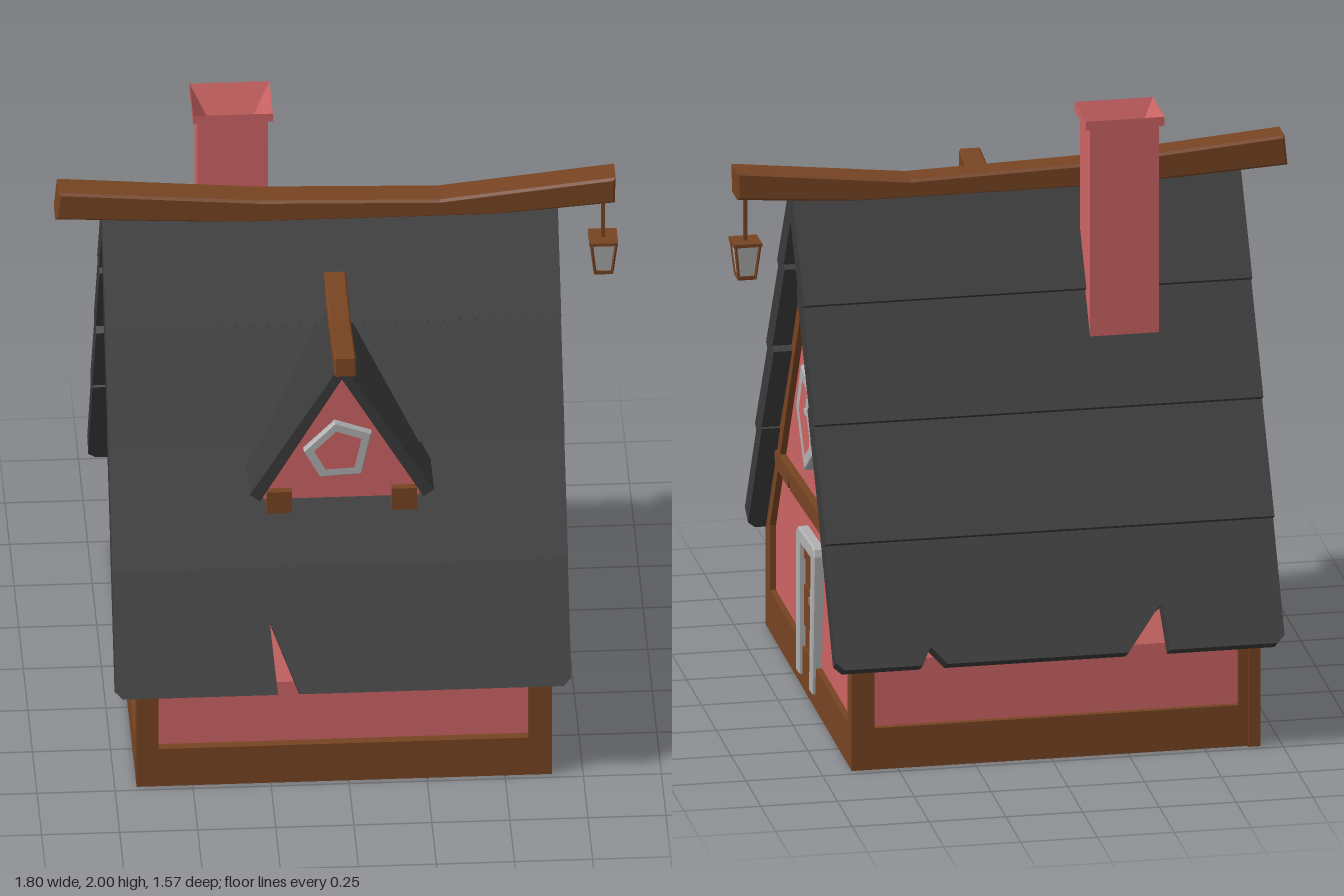
import * as THREE from 'three';

const mat = (color, side = THREE.FrontSide) =>
  new THREE.MeshStandardMaterial({ color, flatShading: true, side });
const PINK = mat(0xcd6464), WOOD = mat(0x774422), ROOF = mat(0x3a3a3a), STONE = mat(0xb0b0b0);
const BLACK = mat(0x111111), BRASS = mat(0xc08a30), BRICK = mat(0xcd6464, THREE.DoubleSide);

function add(parent, name, geometry, material, x = 0, y = 0, z = 0) {
  const m = new THREE.Mesh(geometry, material);
  m.name = name;
  m.position.set(x, y, z);
  parent.add(m);
  return m;
}

// Box given by its limits on each axis
function box(parent, name, material, [x0, x1], [y0, y1], [z0, z1]) {
  return add(parent, name, new THREE.BoxGeometry(x1 - x0, y1 - y0, z1 - z0), material,
    (x0 + x1) / 2, (y0 + y1) / 2, (z0 + z1) / 2);
}

const shapeOf = pts => new THREE.Shape(pts.map(p => new THREE.Vector2(...p)));

// Flat outline extruded from z0 to z1, optionally with a hole and bevel
function slab(parent, name, material, pts, z0, z1, hole, bevel = 0) {
  const shape = shapeOf(pts);
  if (hole) shape.holes.push(new THREE.Path(hole.map(p => new THREE.Vector2(...p))));
  const g = new THREE.ExtrudeGeometry(shape, {
    depth: z1 - z0 - 2 * bevel, bevelEnabled: bevel > 0, bevelThickness: bevel,
    bevelSize: bevel, bevelOffset: -bevel, bevelSegments: 1,
  });
  return add(parent, name, g, material, 0, 0, z0 + bevel);
}

// Crooked window: frame ring, pane and glazing bars
function crookedWindow(parent, name, pts, z, bars = true) {
  const g = new THREE.Group();
  g.name = name;
  const cx = pts.reduce((s, p) => s + p[0], 0) / pts.length;
  const cy = pts.reduce((s, p) => s + p[1], 0) / pts.length;
  const inset = k => pts.map(([x, y]) => [cx + (x - cx) * k, cy + (y - cy) * k]);
  slab(g, 'windowFrame', STONE, pts, z - 0.03, z + 0.012, inset(0.74), 0.004);
  slab(g, 'windowPane', STONE, inset(0.8), z - 0.03, z - 0.012);
  if (bars) {
    const r = Math.max(...pts.map(p => Math.abs(p[0] - cx))) * 1.25;
    for (const a of [0.12, 1.5]) {
      add(g, 'glazingBar', new THREE.BoxGeometry(r, 0.018, 0.014), STONE, cx, cy, z - 0.008).rotation.z = a;
    }
  }
  parent.add(g);
}

const PENTAGON = [[-0.095, 1.098], [0.143, 1.06], [0.148, 0.886], [-0.037, 0.76], [-0.175, 0.934]];

// Timber gable end, built facing +z
function gable(name, beamLift) {
  const g = new THREE.Group();
  g.name = name;
  slab(g, 'gableFrame', WOOD,
    [[-0.73, 0], [0.72, 0], [0.72, 0.35], [0, 1.6], [-0.73, 0.35]], 0.625, 0.665,
    [[-0.66, 0.14], [0.65, 0.14], [0.65, 0.36], [0, 1.5], [-0.66, 0.36]]);
  slab(g, 'crossBeam', WOOD, [[-0.56, 0.655], [0.3, 0.695], [0.54, 0.63], [0.585, 0.565], [0.32, 0.637],
    [-0.28, 0.607], [-0.305, 0.645], [-0.315, 0.605], [-0.53, 0.605]].map(([x, y]) => [x, y + beamLift]), 0.62, 0.672);
  return g;
}

// One course of roofing: [z, y] from its upper to its lower outer edge, cuts along the lower edge
function course(parent, top, bottom, t, x0, x1, cuts) {
  const B = new THREE.Vector3(0, bottom[1], bottom[0]);
  const up = new THREE.Vector3(0, top[1], top[0]).sub(B);
  const len = up.length() + (top[0] > 0.1 ? 0.05 : 0), c = 0.025;
  up.normalize();
  const right = new THREE.Vector3(1, 0, 0), out = right.clone().cross(up);
  const last = cuts.length > 0;
  const pts = [...(last ? [[x0, c], [x0 + c, 0]] : [[x0, 0]]), ...cuts,
    ...(last ? [[x1 - c, 0], [x1, c]] : [[x1, 0]]), [x1, len], [x0, len]];
  const m = slab(parent, 'roofCourse', ROOF, pts, 0, t);
  m.quaternion.setFromRotationMatrix(new THREE.Matrix4().makeBasis(right, up, out));
  m.position.copy(B).addScaledVector(out, -t);
}

function roofSlope(name, x0, x1, cuts) {
  const g = new THREE.Group();
  g.name = name;
  const tops = [[0.02, 1.735], [0.195, 1.42], [0.378, 1.08], [0.565, 0.74]];
  const ends = [[0.228, 1.41], [0.414, 1.07], [0.6, 0.73], [0.785, 0.365]];
  tops.forEach((t, i) => course(g, t, ends[i], i < 3 ? 0.08 : 0.065, x0, x1, i < 3 ? [] : cuts));
  return g;
}

export function createModel() {
  const house = new THREE.Group();
  house.name = 'cottage';

  // Walls, plinth and corner posts
  const wall = slab(house, 'walls', PINK,
    [[-0.7, 0.02], [0.7, 0.02], [0.7, 0.36], [0, 1.57], [-0.7, 0.36]], -0.645, 0.645);
  wall.rotation.y = Math.PI / 2;
  wall.position.set(-0.66, 0, 0);
  box(house, 'plinth', WOOD, [-0.68, 0.65], [0, 0.14], [-0.72, 0.73]);
  for (const x of [[-0.68, -0.61], [0.575, 0.65]])
    for (const z of [[-0.72, -0.65], [0.66, 0.73]]) box(house, 'cornerPost', WOOD, x, [0.1, 0.35], z);

  // Door gable
  const doorEnd = gable('doorGable', 0);
  crookedWindow(doorEnd, 'gableWindow', PENTAGON, 0.662);
  slab(doorEnd, 'doorFrame', STONE, [[-0.155, 0.045], [-0.16, 0.505], [-0.145, 0.53], [-0.12, 0.543],
    [0.115, 0.557], [0.135, 0.548], [0.143, 0.525], [0.11, 0.05], [0.063, 0.05], [0.09, 0.505],
    [-0.107, 0.495], [-0.11, 0.045]], 0.63, 0.678, null, 0.005);
  const seams = [0.1, 0.212, 0.355, 0.44, 0.51];
  for (let i = 0; i < 4; i++)
    box(doorEnd, 'doorPlank', WOOD, [-0.12, 0.09 - (i < 2 ? 0.015 : 0)], [seams[i], seams[i + 1] - 0.005], [0.63, 0.656 + 0.004 * (i % 2)]);
  add(doorEnd, 'doorKnob', new THREE.BoxGeometry(0.018, 0.022, 0.02), BRASS, 0.06, 0.35, 0.667);
  doorEnd.rotation.y = Math.PI / 2;

  // Window gable
  const windowEnd = gable('windowGable', 0.04);
  crookedWindow(windowEnd, 'gableWindow', PENTAGON.map(([x, y]) => [x * 0.8, 1.1 + (y - 0.93) * 0.8]), 0.662);
  const small = [[-0.1, 0.08], [0.02, 0.13], [0.1, 0.06], [0.085, -0.12], [-0.085, -0.11]];
  for (const [u, s] of [[-0.34, -1], [0.27, 1]])
    crookedWindow(windowEnd, 'lowerWindow', small.map(([x, y]) => [u + x * s, 0.44 + y]), 0.662);
  windowEnd.rotation.y = -Math.PI / 2;
  doorEnd.position.x = windowEnd.position.x = -0.015;
  house.add(doorEnd, windowEnd);

  // Roof slopes with torn lower edges
  house.add(roofSlope('frontRoof', -0.75, 0.71, [[-0.23, 0], [-0.25, 0.235], [-0.16, 0]]));
  const back = roofSlope('backRoof', -0.71, 0.75,
    [[-0.43, 0], [-0.4, 0.06], [-0.35, 0], [0.24, 0], [0.345, 0.135], [0.365, 0.15], [0.375, 0]]);
  back.rotation.y = Math.PI;
  house.add(back);

  // Sagging ridge beam
  slab(house, 'ridgeBeam', WOOD, [[-0.9, 1.72], [-0.31, 1.687], [0.5, 1.687], [0.892, 1.718], [0.895, 1.812],
    [0.33, 1.75], [-0.25, 1.767], [-0.89, 1.82]], -0.05, 0.05, null, 0.008);

  // Dormer
  const dormer = new THREE.Group();
  dormer.name = 'dormer';
  slab(dormer, 'dormerWall', PINK, [[-0.25, 0.98], [0.25, 0.98], [0.25, 1.02], [0, 1.45], [-0.25, 1.02]], 0.15, 0.585);
  slab(dormer, 'dormerRoof', ROOF, [[0, 1.495], [0.295, 1.01], [0.262, 0.985], [0, 1.435], [-0.262, 0.985],
    [-0.295, 1.01]], 0.15, 0.605);
  for (const x of [-0.2, 0.2]) box(dormer, 'dormerBracket', WOOD, [x - 0.04, x + 0.04], [0.94, 1.02], [0.4, 0.61]);
  const ridge = slab(dormer, 'dormerBeam', WOOD, [[-0.715, 1.515], [-0.42, 1.48], [-0.14, 1.49], [-0.14, 1.55],
    [-0.4, 1.535], [-0.708, 1.577]], -0.035, 0.035, null, 0.005);
  ridge.rotation.y = Math.PI / 2;
  ridge.position.set(-0.025, 0, 0);
  crookedWindow(dormer, 'dormerWindow',
    [[-0.022, 1.273], [0.095, 1.23], [0.063, 1.077], [-0.07, 1.07], [-0.123, 1.17]], 0.595, false);
  dormer.position.x = -0.015;
  house.add(dormer);

  // Chimney with funnel mouth (four-sided lathe in half-width units)
  const profile = [[0.88, 1.2], [0.88, 1.97], [1, 1.97], [1, 2], [0.5, 1.88]];
  const stack = new THREE.LatheGeometry(profile.map(([r, y]) => new THREE.Vector2(r * Math.SQRT2, y)), 4);
  stack.rotateY(Math.PI / 4).scale(0.128, 1, 0.098);
  add(house, 'chimney', stack, BRICK, -0.322, 0, -0.204);
  box(house, 'flue', BLACK, [-0.39, -0.255], [1.8, 1.882], [-0.256, -0.152]);

  // Hanging lantern
  const lantern = new THREE.Group();
  lantern.name = 'lantern';
  const taper = (name, m, rt, rb, y0, y1) => {
    const g = new THREE.CylinderGeometry(rt * Math.SQRT2, rb * Math.SQRT2, y1 - y0, 4).rotateY(Math.PI / 4);
    add(lantern, name, g, m, 0, (y0 + y1) / 2, 0);
  };
  taper('hanger', WOOD, 0.006, 0.006, 1.56, 1.74);
  taper('lanternCap', WOOD, 0.046, 0.046, 1.555, 1.566);
  taper('lanternGlass', STONE, 0.039, 0.027, 1.45, 1.558);
  taper('lanternBase', WOOD, 0.031, 0.03, 1.44, 1.453);
  for (const sx of [-1, 1]) for (const sz of [-1, 1]) {
    const edge = new THREE.LineCurve3(new THREE.Vector3(sx * 0.027, 1.445, sz * 0.027), new THREE.Vector3(sx * 0.04, 1.56, sz * 0.04));
    add(lantern, 'lanternBar', new THREE.TubeGeometry(edge, 1, 0.005, 4), WOOD);
  }
  lantern.position.x = 0.857;
  house.add(lantern);

  return house;
}
